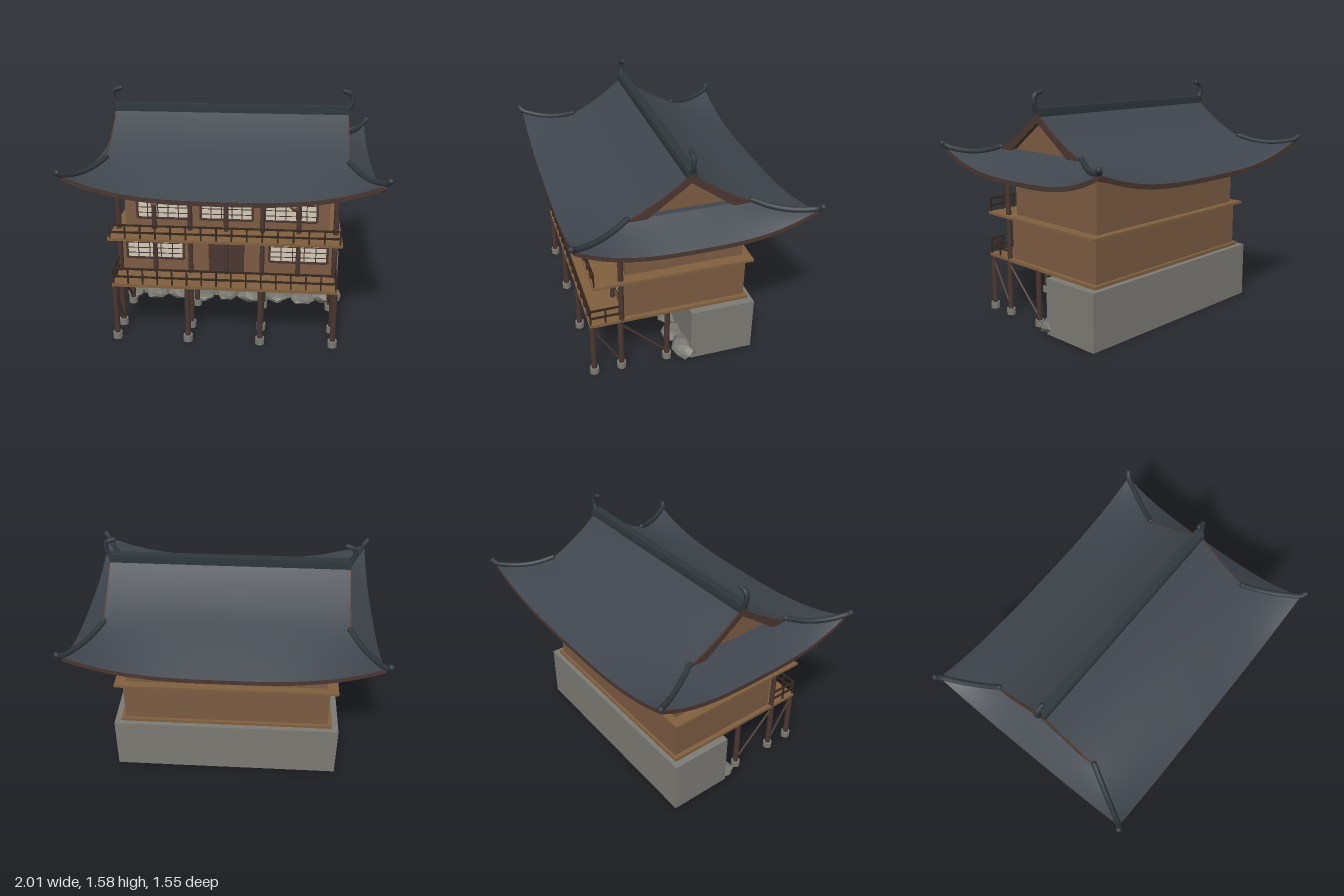
import * as THREE from 'three';

const mat = (name, color) => new THREE.MeshStandardMaterial({ name, color });

export function createModel() {
  const root = new THREE.Group();
  root.name = 'hillsideHall';
  const wall = mat('wall wood', 0x7b5b42), deckM = mat('deck wood', 0x80603f);
  const dark = mat('dark timber', 0x4a3630), rail = mat('railing timber', 0x35271f);
  const slate = mat('roof slate', 0x40464e), ridgeM = mat('ridge slate', 0x2f373c);
  const stone = mat('stone', 0x7b7a74), paper = mat('window paper', 0xd3cbb8);
  const rockM = mat('boulder', 0x75746d);
  rockM.flatShading = true;

  const add = (name, geo, m, x = 0, y = 0, z = 0, parent = root) => {
    const o = new THREE.Mesh(geo, m);
    o.name = name;
    o.position.set(x, y, z);
    parent.add(o);
    return o;
  };
  // box from its minimum and maximum corners
  const box = (name, m, x0, x1, y0, y1, z0, z1, parent) =>
    add(name, new THREE.BoxGeometry(x1 - x0, y1 - y0, z1 - z0), m,
      (x0 + x1) / 2, (y0 + y1) / 2, (z0 + z1) / 2, parent);
  const post = (name, m, r, x, y0, y1, z) =>
    add(name, new THREE.CylinderGeometry(r, r, y1 - y0, 10), m, x, (y0 + y1) / 2, z);
  // round bar between two points
  const bar = (name, m, r, a, b) => {
    const A = new THREE.Vector3(...a), B = new THREE.Vector3(...b);
    const o = add(name, new THREE.CylinderGeometry(r, r, A.distanceTo(B), 8), m);
    o.position.copy(A).add(B).multiplyScalar(0.5);
    o.quaternion.setFromUnitVectors(new THREE.Vector3(0, 1, 0), B.sub(A).normalize());
  };

  // Stone base, storeys and decks
  box('stoneBase', stone, -0.77, 0.77, 0, 0.382, -0.47, -0.035);
  box('lowerDeck', deckM, -0.725, 0.725, 0.385, 0.406, -0.44, 0.63);
  box('lowerStorey', wall, -0.695, 0.695, 0.4, 0.7, -0.42, 0.4);
  box('upperDeck', deckM, -0.747, 0.747, 0.694, 0.712, -0.455, 0.6);
  box('upperStorey', wall, -0.672, 0.672, 0.71, 1.12, -0.405, 0.38);

  // Stilts with stone feet and end braces
  const columns = [-0.71, -0.237, 0.237, 0.71];
  for (const x of columns) {
    for (const z of [0.612, 0.428, 0.115]) {
      post('stilt', dark, 0.019, x, 0.03, 0.39, z);
      post('stiltFoot', stone, 0.031, x, 0, 0.044, z);
    }
  }
  for (const x of [-0.71, 0.71]) {
    bar('brace', dark, 0.008, [x, 0.34, 0.6], [x, 0.07, 0.44]);
    bar('brace', dark, 0.008, [x, 0.35, 0.415], [x, 0.06, 0.12]);
  }
  // Veranda posts
  for (const x of [...columns, -0.473, 0, 0.473])
    post('verandaPost', dark, Math.abs(x) > 0.6 ? 0.018 : 0.016, x, 0.4, 1.07, 0.42);

  // Railings
  const railing = (w, y, h, z, t) => {
    for (const k of [0.5, 1])
      box('handrail', rail, -w, w, y + h * k - 0.012, y + h * k, z - t, z + t);
    for (let i = 0; i <= 15; i++) {
      const x = -w + 0.005 + (i / 15) * (2 * w - 0.01);
      box('baluster', rail, x - 0.005, x + 0.005, y, y + h, z - t, z + t);
    }
  };
  railing(0.72, 0.405, 0.112, 0.622, 0.005);
  railing(0.735, 0.71, 0.097, 0.593, 0.004);
  for (const x of [-0.715, 0.715]) {
    for (const y of [0.455, 0.511])
      box('sideRail', rail, x - 0.005, x + 0.005, y - 0.006, y + 0.006, 0.43, 0.622);
    box('sideBaluster', rail, x - 0.005, x + 0.005, 0.405, 0.515, 0.52, 0.53);
  }

  // Lattice windows
  const latticeWindow = (x0, x1, y0, y1, z) => {
    const g = new THREE.Group();
    g.name = 'window';
    root.add(g);
    box('paperPane', paper, x0, x1, y0, y1, z, z + 0.004, g);
    for (let i = 0; i <= 5; i++) {
      const x = x0 + ((x1 - x0) * i) / 5, r = i % 5 ? 0.003 : 0.008;
      box('mullion', dark, x - r, x + r, y0, y1, z, z + 0.008, g);
    }
    for (let j = 0; j <= 4; j++) {
      const y = y0 + ((y1 - y0) * j) / 4, r = j % 4 ? 0.0025 : 0.008;
      box('lattice', dark, x0, x1, y - r, y + r, z, z + 0.007, g);
    }
  };
  for (const c of [-0.42, 0, 0.42]) latticeWindow(c - 0.17, c + 0.17, 0.775, 0.925, 0.38);
  for (const c of [-0.475, 0.475]) latticeWindow(c - 0.19, c + 0.19, 0.495, 0.64, 0.4);

  // Double door
  for (const s of [-1, 1])
    box('doorLeaf', dark, Math.min(s * 0.002, s * 0.118), Math.max(s * 0.002, s * 0.118), 0.406, 0.656, 0.4, 0.408);

  // Hanging lanterns
  const lantern = [[0, -0.022], [0.012, -0.022], [0.026, -0.004], [0.026, 0.004], [0.012, 0.02], [0, 0.02]];
  for (const x of [-0.435, 0.435]) {
    add('lantern', new THREE.LatheGeometry(lantern.map(p => new THREE.Vector2(...p)), 10), wall, x, 0.957, 0.592);
    post('lanternCord', rail, 0.003, x, 0.97, 1.08, 0.592);
  }

  // Boulders along the foot of the base: x, half width, height
  const boulders = [[-0.71, 0.06, 0.05], [-0.55, 0.085, 0.075], [-0.37, 0.1, 0.085], [-0.2, 0.08, 0.05],
    [-0.03, 0.07, 0.07], [0.16, 0.12, 0.09], [0.34, 0.08, 0.055], [0.52, 0.09, 0.07], [0.69, 0.11, 0.1]];
  boulders.forEach(([x, w, h], n) => {
    const g = new THREE.IcosahedronGeometry(1, 1), p = g.attributes.position;
    for (let i = 0; i < p.count; i++) {
      const a = p.getX(i), b = p.getY(i), c = p.getZ(i);
      const k = 1 + 0.12 * Math.sin(5 * a + 3 * b + 4 * c + n * 2.1);
      p.setXYZ(i, a * k * w, Math.max(0, h * 0.45 + b * k * h * 0.55), c * k * 0.085);
    }
    g.computeVertexNormals();
    add('boulder', g, rockM, x, 0, -0.005 + 0.015 * Math.sin(n * 3));
  });

  // Roof: s = -1 ridge, 0 gable foot, 1 eave; t = -1..1 along the eave
  const roofY = (t, s) => s < 0
    ? 1.43 - 0.333 * (1 + s) + 0.083 * (1 + s) ** 2
    : 1.18 - 0.15 * s + 0.135 * s * s * Math.abs(t) ** 3;
  const mainSlope = (t, s) => [t * (0.775 + 0.19 * Math.max(s, 0)), roofY(t, s), s < 0 ? 0.39 * (1 + s) : 0.39 + 0.35 * s];
  const skirt = (t, s) => [0.775 + 0.19 * s, roofY(t, s), -t * (0.39 + 0.35 * s)];
  const THICK = 0.03;
  const sheet = (f, v0, v1, nv, flip) => {
    const nu = 32, pos = [], idx = [];
    for (let j = 0; j <= nv; j++)
      for (let i = 0; i <= nu; i++) pos.push(...f(-1 + (2 * i) / nu, v0 + ((v1 - v0) * j) / nv));
    for (let j = 0; j < nv; j++)
      for (let i = 0; i < nu; i++) {
        const a = j * (nu + 1) + i, b = a + 1, c = a + nu + 1, d = c + 1;
        idx.push(...(flip ? [a, b, c, b, d, c] : [a, c, b, b, c, d]));
      }
    const g = new THREE.BufferGeometry();
    g.setAttribute('position', new THREE.Float32BufferAttribute(pos, 3));
    g.setIndex(idx);
    g.computeVertexNormals();
    return g;
  };
  const lower = (p, d) => [p[0], p[1] - d, p[2]];
  const gableCurve = [];
  for (let i = -12; i <= 12; i++) gableCurve.push([(0.39 * i) / 12, roofY(0, Math.abs(i) / 12 - 1) - 0.003]);
  const extrude = (pts, depth) => new THREE.ExtrudeGeometry(
    new THREE.Shape(pts.map(p => new THREE.Vector2(...p))), { depth, bevelEnabled: false }).rotateY(Math.PI / 2);
  const tube = (pts, r) => new THREE.TubeGeometry(
    new THREE.CatmullRomCurve3(pts.map(p => new THREE.Vector3(...p))), 16, r, 8);

  for (const turn of [0, Math.PI]) {
    const half = new THREE.Group();
    half.name = 'roofHalf';
    half.rotation.y = turn;
    root.add(half);
    for (const [f, v0, n, label] of [[mainSlope, -1, 20, 'mainRoof'], [skirt, 0, 10, 'sideRoof']]) {
      add(label, sheet(f, v0, 1, n), slate, 0, 0, 0, half);
      add(label + 'Soffit', sheet((t, s) => lower(f(t, s), THICK), v0, 1, n, true), dark, 0, 0, 0, half);
      add(label + 'Fascia', sheet((t, v) => lower(f(t, 1), v * THICK), 0, 1, 1), dark, 0, 0, 0, half);
    }
    // gable end
    add('bargeboard', extrude([...gableCurve, [0.28, 1.165], [0, 1.37], [-0.28, 1.165]], 0.02), dark, 0.765, 0, 0, half);
    add('gableWall', extrude([[-0.33, 1.15], [0.33, 1.15], [0, 1.4]], 0.02), wall, 0.7, 0, 0, half);
    box('gableLedge', slate, 0.7, 0.78, 1.155, 1.172, -0.35, 0.35, half);
    // hip ridges with upturned tips
    for (const e of [-1, 1]) {
      const pts = [0, 0.25, 0.5, 0.75, 1].map(s => {
        const p = skirt(-e, s);
        return [p[0], p[1] + 0.008, p[2]];
      });
      pts.push([0.985, 1.192, e * 0.755]);
      add('hipRidge', tube(pts, 0.018), ridgeM, 0, 0, 0, half);
      add('hipTip', new THREE.SphereGeometry(0.019, 10, 8), ridgeM, 0.985, 1.192, e * 0.755, half);
      add('hipStart', new THREE.SphereGeometry(0.018, 10, 8), ridgeM, ...pts[0], half);
    }
    // curled ridge finial
    const curl = [[0.785, 1.44, 0], [0.805, 1.49, 0], [0.797, 1.54, 0], [0.75, 1.56, 0]];
    add('ridgeFinial', tube(curl, 0.016), ridgeM, 0, 0, 0, half);
    add('finialTip', new THREE.SphereGeometry(0.016, 8, 6), ridgeM, 0.75, 1.56, 0, half);
  }
  box('ridgeBeam', ridgeM, -0.785, 0.785, 1.408, 1.445, -0.035, 0.035);
  box('ridgeCap', ridgeM, -0.79, 0.79, 1.44, 1.458, -0.028, 0.028);
  return root;
}
